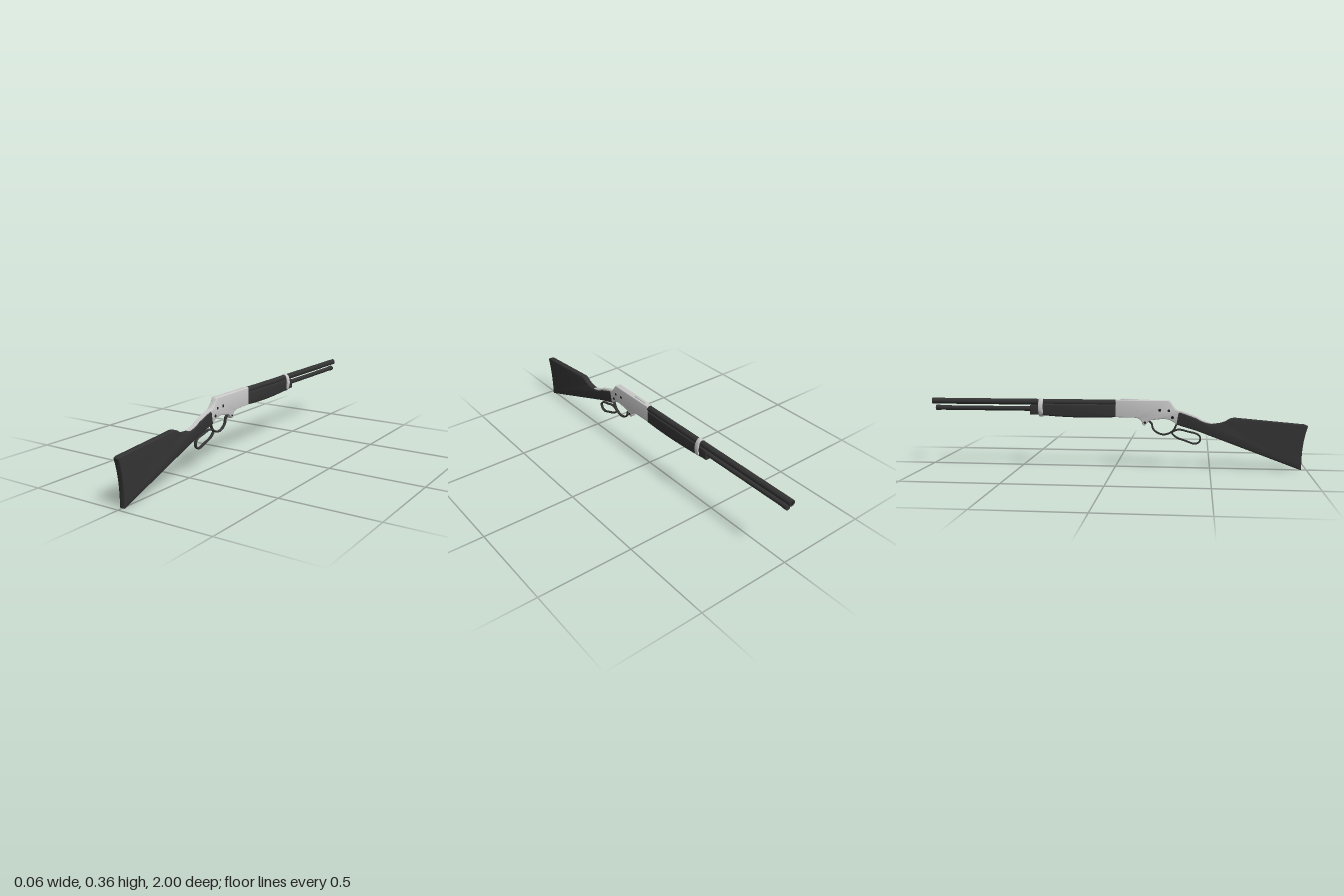
import * as THREE from 'three';
import { toCreasedNormals } from 'three/addons/utils/BufferGeometryUtils.js';

const dark = new THREE.MeshStandardMaterial({ color: 0x333333 });
const grey = new THREE.MeshStandardMaterial({ color: 0xcccccc });
const black = new THREE.MeshStandardMaterial({ color: 0x222222 });

export function createModel() {
  const group = new THREE.Group();

  const add = (name, geometry, material) => {
    const mesh = new THREE.Mesh(geometry, material);
    mesh.name = name;
    group.add(mesh);
    return mesh;
  };

  // Extrudes a side profile, drawn in (z, y), evenly to both sides of x = 0
  const plate = (name, shape, halfWidth, bevel, material) => {
    const depth = 2 * (halfWidth - bevel);
    const geo = new THREE.ExtrudeGeometry(shape, {
      depth, bevelEnabled: bevel > 0, bevelSize: bevel, bevelThickness: bevel,
      bevelOffset: -bevel, bevelSegments: 3, curveSegments: 10,
    });
    geo.translate(0, 0, -depth / 2).rotateY(-Math.PI / 2);
    return add(name, toCreasedNormals(geo, 0.6), material);
  };
  const polygon = (points) => new THREE.Shape(points.map(([z, y]) => new THREE.Vector2(z, y)));

  // Round bar along z
  const rod = (name, radius, y, zBack, zFront, material) => {
    const geo = new THREE.CylinderGeometry(radius, radius, zBack - zFront, 28);
    geo.rotateX(Math.PI / 2).translate(0, y, (zBack + zFront) / 2);
    return add(name, geo, material);
  };

  // Butt stock with wrist and curved butt end
  const stock = new THREE.Shape();
  stock.moveTo(0.973, 0.004);
  stock.quadraticCurveTo(0.968, 0.14, 1.0, 0.236);
  stock.lineTo(0.985, 0.243);
  stock.lineTo(0.63, 0.273);
  stock.quadraticCurveTo(0.605, 0.274, 0.585, 0.258);
  stock.quadraticCurveTo(0.545, 0.236, 0.49, 0.243);
  stock.quadraticCurveTo(0.455, 0.25, 0.43, 0.268);
  stock.lineTo(0.33, 0.303);
  stock.lineTo(0.318, 0.236);
  stock.lineTo(0.43, 0.203);
  stock.lineTo(0.95, 0.012);
  plate('stock', stock, 0.016, 0.005, dark);

  // Tang strip lying on top of the wrist
  plate('tang', polygon([
    [0.325, 0.312], [0.38, 0.295], [0.43, 0.277], [0.46, 0.258], [0.51, 0.243],
    [0.51, 0.237], [0.45, 0.244], [0.42, 0.262], [0.325, 0.292],
  ]), 0.011, 0.002, grey);

  // Receiver with its lower hinge lug
  const receiver = new THREE.Shape();
  receiver.moveTo(0, 0.27);
  receiver.lineTo(0, 0.362);
  receiver.lineTo(0.275, 0.362);
  receiver.quadraticCurveTo(0.287, 0.362, 0.293, 0.35);
  receiver.lineTo(0.318, 0.316);
  receiver.lineTo(0.342, 0.305);
  receiver.lineTo(0.324, 0.232);
  receiver.quadraticCurveTo(0.3, 0.264, 0.25, 0.264);
  receiver.lineTo(0.19, 0.256);
  receiver.quadraticCurveTo(0.175, 0.25, 0.162, 0.232);
  receiver.quadraticCurveTo(0.15, 0.222, 0.142, 0.238);
  receiver.quadraticCurveTo(0.14, 0.262, 0.11, 0.268);
  plate('receiver', receiver, 0.016, 0.004, grey);
  plate('topRidge', polygon([
    [0.02, 0.355], [0.03, 0.367], [0.12, 0.367], [0.14, 0.355],
  ]), 0.006, 0.002, grey);

  // Screws on both sides of the receiver
  for (const [z, y, r] of [[0.302, 0.272, 0.008], [0.283, 0.308, 0.007], [0.235, 0.31, 0.008], [0.157, 0.243, 0.006]]) {
    const geo = new THREE.CylinderGeometry(r, r, 0.033, 16);
    geo.rotateZ(Math.PI / 2).translate(0, y, z);
    add('screw', geo, black);
  }

  // Lever: trigger guard bow and finger loop, flattened tubes
  const bar = (name, points, closed) => {
    const path = new THREE.CatmullRomCurve3(points.map(([z, y]) => new THREE.Vector3(0, y, z)), closed);
    const geo = new THREE.TubeGeometry(path, 72, 0.005, 10, closed);
    geo.scale(1.7, 1, 1);
    add(name, geo, dark);
  };
  bar('triggerGuard', [
    [0.175, 0.252], [0.192, 0.238], [0.2, 0.21], [0.225, 0.188], [0.258, 0.18],
    [0.294, 0.192], [0.312, 0.21], [0.324, 0.236],
  ], false);
  bar('fingerLoop', [
    [0.3, 0.19], [0.33, 0.207], [0.385, 0.197], [0.435, 0.183], [0.449, 0.165],
    [0.443, 0.143], [0.42, 0.133], [0.38, 0.145], [0.32, 0.168],
  ], true);

  // Barrel with bore, and magazine tube beneath
  rod('barrel', 0.016, 0.346, 0.01, -1, dark);
  const bore = add('bore', new THREE.CircleGeometry(0.009, 20), black);
  bore.rotation.y = Math.PI;
  bore.position.set(0, 0.346, -1.0005);
  rod('magazineTube', 0.0125, 0.309, 0, -0.965, dark);
  rod('magazineCap', 0.0145, 0.309, -0.955, -0.98, dark);

  // Fore-end
  const foreEnd = new THREE.Shape();
  foreEnd.moveTo(0, 0.338);
  foreEnd.lineTo(0, 0.27);
  foreEnd.quadraticCurveTo(-0.2, 0.258, -0.41, 0.277);
  foreEnd.lineTo(-0.41, 0.338);
  plate('foreEnd', foreEnd, 0.02, 0.008, dark);
  plate('foreEndCap', polygon([
    [-0.4, 0.277], [-0.46, 0.279], [-0.46, 0.328], [-0.4, 0.332],
  ]), 0.017, 0.005, dark);

  // Oval barrel band
  const band = new THREE.Shape();
  band.absellipse(0, 0.317, 0.026, 0.048, 0, Math.PI * 2);
  const opening = new THREE.Path();
  opening.absellipse(0, 0.317, 0.021, 0.044, 0, Math.PI * 2);
  band.holes.push(opening);
  const bandGeo = new THREE.ExtrudeGeometry(band, {
    depth: 0.016, bevelSize: 0.002, bevelThickness: 0.004, bevelSegments: 3, curveSegments: 32,
  });
  bandGeo.translate(0, 0, -0.408);
  add('barrelBand', toCreasedNormals(bandGeo, 0.6), grey);

  return group;
}
